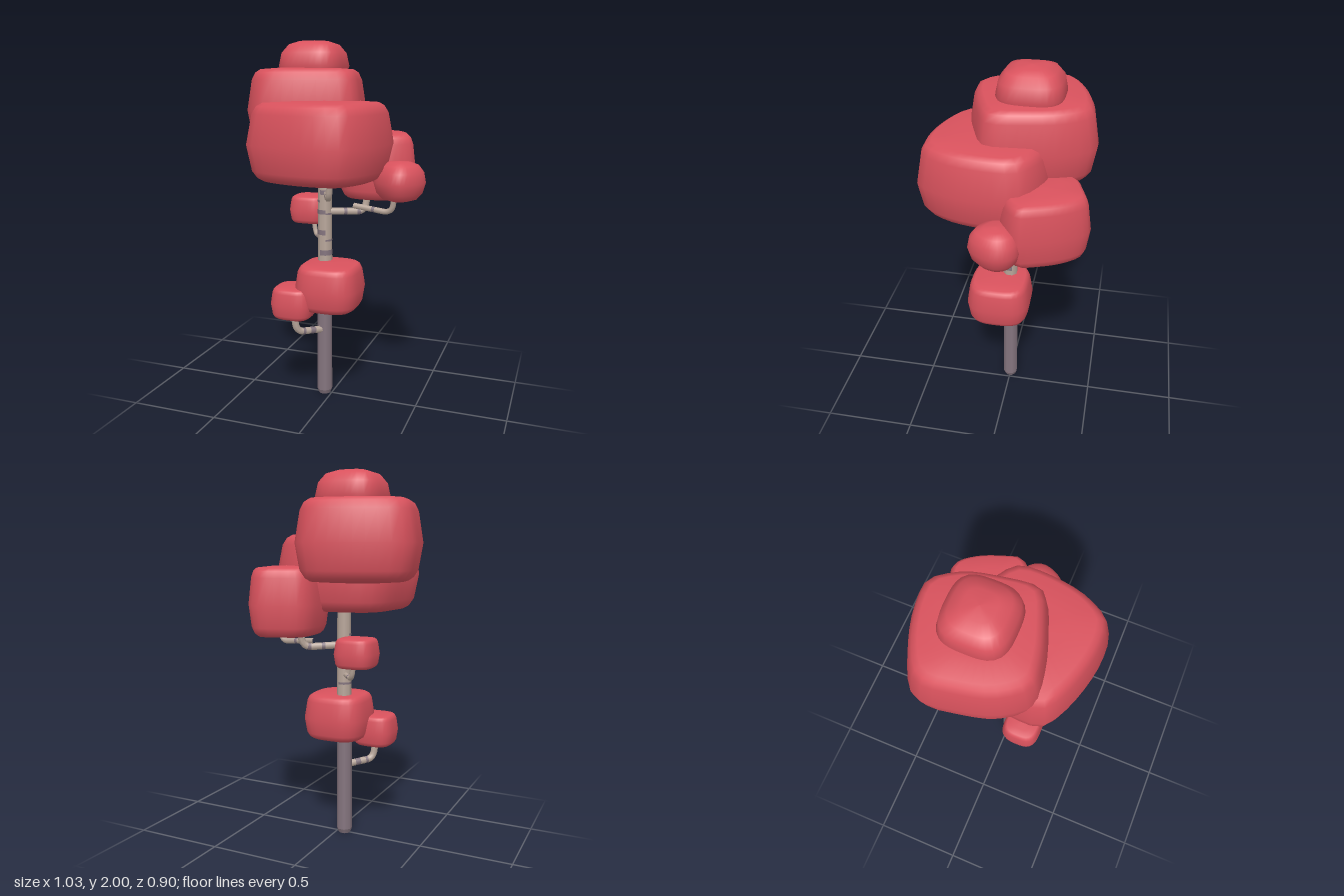
import * as THREE from 'three';

const mat = (name, color) => {
  const m = new THREE.MeshStandardMaterial({ color });
  m.name = name;
  return m;
};

// Rounded oblong outline, clockwise seen from above
function roundedOutline(x0, x1, z0, z1, power = 0.62) {
  const pts = [];
  for (let i = 0; i < 16; i++) {
    const a = (i / 16) * Math.PI * 2, c = Math.cos(a), s = Math.sin(a);
    pts.push([
      (x0 + x1) / 2 + ((x1 - x0) / 2) * Math.sign(c) * Math.abs(c) ** power,
      (z0 + z1) / 2 + ((z1 - z0) / 2) * Math.sign(s) * Math.abs(s) ** power,
    ]);
  }
  return pts;
}

// Vertical profiles: [height fraction, outline scale]
const BOXY = [[0, 0], [0, 0.45], [0.02, 0.78], [0.06, 0.86], [0.15, 0.93], [0.47, 1],
  [0.84, 0.92], [0.93, 0.86], [0.97, 0.78], [0.99, 0.45], [1, 0]];
const ROUND = [[0, 0], [0.02, 0.4], [0.07, 0.68], [0.22, 0.88], [0.48, 1],
  [0.74, 0.92], [0.91, 0.72], [0.98, 0.42], [1, 0]];

// Leaf clump: an outline stacked through a vertical profile
function clumpGeometry(outline, y0, y1, profile) {
  const curve = new THREE.CatmullRomCurve3(
    outline.map(([x, z]) => new THREE.Vector3(x, 0, z)), true, 'centripetal');
  const n = 36;
  const ring = curve.getSpacedPoints(n).slice(0, n);
  const mid = ring.reduce((s, p) => s.add(p), new THREE.Vector3()).divideScalar(n);
  const pos = [], idx = [];
  profile.forEach(([t, s], r) => {
    for (let i = 0; i < n; i++) {
      pos.push(mid.x + (ring[i].x - mid.x) * s, y0 + (y1 - y0) * t, mid.z + (ring[i].z - mid.z) * s);
      if (r === 0) continue;
      const j = (i + 1) % n, a = (r - 1) * n + i, b = (r - 1) * n + j, c = r * n + i, d = r * n + j;
      idx.push(a, c, b, b, c, d);
    }
  });
  const g = new THREE.BufferGeometry();
  g.setAttribute('position', new THREE.Float32BufferAttribute(pos, 3));
  g.setIndex(idx);
  g.computeVertexNormals();
  return g;
}

export function createModel() {
  const group = new THREE.Group();
  const leaf = mat('red leaves', 0xd9525d);
  const bark = mat('pale bark', 0xb8a69a);
  const dark = mat('dark bark', 0x85757f);
  const add = (name, geometry, material) => {
    const m = new THREE.Mesh(geometry, material);
    m.name = name;
    group.add(m);
    return m;
  };

  // Trunk: dark lower part, pale upper part
  const tx = -0.043, sides = 8;
  const trunkPart = (name, y0, y1, r0, r1, material) => {
    const g = new THREE.CylinderGeometry(r1, r0, y1 - y0, sides);
    g.rotateY(Math.PI / 8);
    add(name, g, material).position.set(tx + 0.005 * y0, (y0 + y1) / 2, 0);
  };
  trunkPart('trunkFoot', 0, 0.025, 0.034, 0.044, dark);
  trunkPart('lowerTrunk', 0.025, 0.68, 0.044, 0.041, dark);
  trunkPart('upperTrunk', 0.68, 1.45, 0.041, 0.037, bark);

  // Bark marks: thin partial bands [height, thickness, first side, side count]
  for (const [y, h, first, count] of [
    [0.85, 0.03, 0, 3], [0.87, 0.012, 4, 3], [0.965, 0.028, 6, 3], [0.92, 0.01, 1, 2],
    [1.08, 0.024, 7, 2], [1.07, 0.01, 1, 2], [1.04, 0.02, 4, 2], [1.14, 0.012, 6, 2], [1.19, 0.025, 0, 2],
  ]) {
    const r = 0.0425 - 0.004 * (y - 0.68);
    const g = new THREE.CylinderGeometry(r, r, h, count, 1, true,
      (first - 0.5) * Math.PI / 4, count * Math.PI / 4);
    add('barkMark', g, dark).position.set(tx + 0.0034, y, 0);
  }

  // Branches: out from the trunk, then an upward elbow; some segments are dark
  const branch = (name, a, b, c, r, bands) => {
    const [A, B, C] = [a, b, c].map((p) => new THREE.Vector3(...p));
    const path = new THREE.CurvePath();
    const p = B.clone().lerp(A, 0.22), q = B.clone().lerp(C, 0.3);
    path.add(new THREE.LineCurve3(A, p));
    path.add(new THREE.QuadraticBezierCurve3(p, B, q));
    path.add(new THREE.LineCurve3(q, C));
    const segs = 20, radial = 7;
    const g = new THREE.TubeGeometry(path, segs, r, radial, false);
    for (let s = 0; s < segs; s++) g.addGroup(s * radial * 6, radial * 6, bands.includes(s) ? 1 : 0);
    add(name, g, [bark, dark]);
  };
  branch('lowBranch', [-0.04, 0.395, 0.01], [-0.155, 0.41, 0.145], [-0.172, 0.56, 0.16], 0.02, [4, 5, 8]);
  branch('leftBranch', [-0.04, 0.92, 0], [-0.14, 0.915, -0.12], [-0.165, 1.04, -0.135], 0.014, [7]);
  branch('rightBranch', [-0.03, 1.08, 0], [0.155, 1.07, -0.12], [0.172, 1.25, -0.14], 0.02, [5, 9]);
  branch('outerBranch', [0.1, 1.105, -0.09], [0.33, 1.085, -0.045], [0.355, 1.24, -0.02], 0.016, [6]);
  branch('frontBranch', [-0.03, 1.185, 0], [0.05, 1.18, 0.19], [0.068, 1.32, 0.21], 0.018, [6, 7]);

  // Large leaf clumps with their own outlines
  const clump = (name, outline, y0, y1, profile) => add(name, clumpGeometry(outline, y0, y1, profile), leaf);
  clump('upperClump', [[-0.49, -0.29], [-0.36, -0.37], [-0.17, -0.43], [-0.01, -0.435], [0.04, -0.39],
    [0.11, -0.27], [0.15, -0.1], [0.17, 0.07], [0.15, 0.12], [0, 0.19], [-0.18, 0.245], [-0.33, 0.255],
    [-0.37, 0.22], [-0.45, 0.1], [-0.5, -0.1], [-0.515, -0.23]], 1.43, 1.86, BOXY);
  clump('frontClump', [[-0.1, -0.23], [0.15, -0.215], [0.29, -0.14], [0.325, -0.09], [0.333, 0.05],
    [0.295, 0.27], [0.22, 0.41], [0.18, 0.44], [0.02, 0.45], [-0.2, 0.4], [-0.34, 0.33], [-0.372, 0.28],
    [-0.365, 0.08], [-0.33, -0.12], [-0.27, -0.19]], 1.265, 1.69, BOXY);
  clump('backClump', [[0.04, -0.385], [0.13, -0.42], [0.24, -0.45], [0.285, -0.43], [0.36, -0.33],
    [0.42, -0.18], [0.437, -0.12], [0.42, -0.08], [0.33, -0.01], [0.2, 0.02], [0.08, 0],
    [0.02, -0.06], [-0.005, -0.2], [0, -0.33]], 1.145, 1.515, BOXY);
  clump('outerClump', [[0.44, -0.125], [0.49, -0.09], [0.515, -0.03], [0.5, 0.04], [0.46, 0.1],
    [0.42, 0.13], [0.37, 0.132], [0.31, 0.1], [0.25, 0.04], [0.235, -0.02], [0.27, -0.08], [0.35, -0.125]],
  1.16, 1.375, ROUND);

  // Smaller rounded clumps
  clump('topClump', roundedOutline(-0.31, 0.045, -0.265, 0.085), 1.74, 2, ROUND);
  clump('leftClump', roundedOutline(-0.29, -0.07, -0.25, -0.03), 0.985, 1.145, BOXY);
  clump('trunkClump', roundedOutline(-0.17, 0.19, -0.13, 0.23), 0.545, 0.805, BOXY);
  clump('lowClump', roundedOutline(-0.29, -0.05, 0.03, 0.255), 0.5, 0.68, BOXY);
  return group;
}
